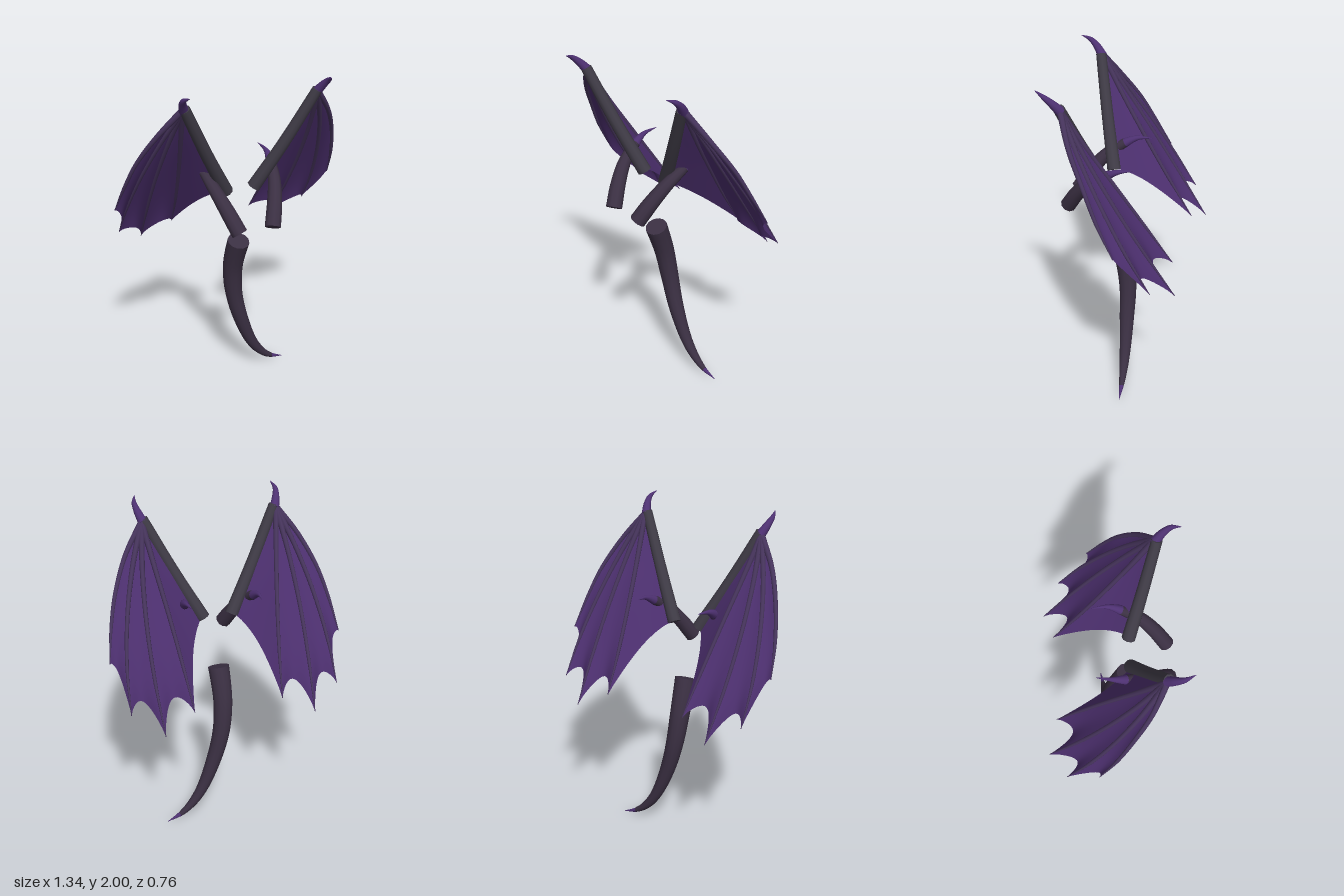
import * as THREE from 'three';

const BONE = new THREE.MeshStandardMaterial({ color: 0x3f3b46 });
const HIDE = new THREE.MeshStandardMaterial({ color: 0x3b3043 });
const FINGER = new THREE.MeshStandardMaterial({ color: 0x46345c });
const PURPLE = new THREE.MeshStandardMaterial({ color: 0x4e3172 });
const SKIN = new THREE.MeshStandardMaterial({ color: 0x4c2f6e, side: THREE.DoubleSide });

const curveOf = (pts, s = 1) =>
  new THREE.CatmullRomCurve3(pts.map(([x, y, z]) => new THREE.Vector3(x * s, y, z)), false, 'centripetal');

// Linear lookup in evenly spaced radii
function radiusAt(radii, t) {
  const f = t * (radii.length - 1), i = Math.min(Math.floor(f), radii.length - 2);
  return THREE.MathUtils.lerp(radii[i], radii[i + 1], f - i);
}

function geometryOf(positions, index) {
  const g = new THREE.BufferGeometry();
  g.setAttribute('position', new THREE.Float32BufferAttribute(positions, 3));
  g.setIndex(index);
  g.computeVertexNormals();
  return g;
}

// Round tapering limb along a curve between t0 and t1, with sharp-edged end caps
function limb(name, curve, radii, material, t0 = 0, t1 = 1, sides = 10, segs = 24) {
  const frames = curve.computeFrenetFrames(segs);
  const rings = [[0, 0], [0, 1]];
  for (let i = 0; i <= segs; i++) rings.push([i, 1]);
  rings.push([segs, 1], [segs, 0]);
  const pos = [], idx = [];
  rings.forEach(([i, scale]) => {
    const t = t0 + (t1 - t0) * i / segs;
    const p = curve.getPointAt(t), r = radiusAt(radii, t) * scale;
    const k = Math.round(t * segs);
    const n = frames.normals[k], b = frames.binormals[k];
    for (let j = 0; j < sides; j++) {
      const a = j / sides * Math.PI * 2;
      const v = p.clone().addScaledVector(n, Math.cos(a) * r).addScaledVector(b, Math.sin(a) * r);
      pos.push(v.x, v.y, v.z);
    }
  });
  for (let i = 0; i < rings.length - 1; i++) {
    if (i === 1 || i === rings.length - 3) continue; // split cap from side
    for (let j = 0; j < sides; j++) {
      const a = i * sides + j, b = i * sides + (j + 1) % sides;
      idx.push(a, b, a + sides, b, b + sides, a + sides);
    }
  }
  const mesh = new THREE.Mesh(geometryOf(pos, idx), material);
  mesh.name = name;
  return mesh;
}

// Skin stretched between two finger curves, with a scalloped, cupped free edge
function skinPanel(a, b, depth, cup) {
  const nu = 16, nt = 24, pos = [], idx = [];
  const front = new THREE.Vector3(0, -0.54, 0.84);
  for (let i = 0; i <= nt; i++) {
    for (let j = 0; j <= nu; j++) {
      const u = j / nu, bow = Math.sin(Math.PI * u);
      const t = i / nt * (1 - depth * Math.pow(bow, 0.75));
      const p = a.getPointAt(t).lerp(b.getPointAt(t), u);
      p.addScaledVector(front, bow * (0.012 * t + cup * Math.pow(i / nt, 8)));
      pos.push(p.x, p.y, p.z);
      if (i < nt && j < nu) {
        const k = i * (nu + 1) + j, m = k + nu + 1;
        idx.push(k, m, k + 1, k + 1, m, m + 1);
      }
    }
  }
  const mesh = new THREE.Mesh(geometryOf(pos, idx), SKIN);
  mesh.name = 'wingSkin';
  return mesh;
}

function makeWing(s) {
  const wing = new THREE.Group();
  wing.name = s > 0 ? 'leftWing' : 'rightWing';

  // Arm from the shoulder up to the wrist
  const arm = curveOf([[0.085, 1.33, 0.105], [0.235, 1.61, 0.185], [0.38, 1.905, 0.26]], s);
  wing.add(limb('wingArm', arm, [0.04, 0.036, 0.033, 0.03], BONE));

  // Thumb claw above the wrist
  const claw = curveOf([[0.38, 1.89, 0.25], [0.4, 1.94, 0.29], [0.408, 1.975, 0.33], [0.395, 2, 0.38]], s);
  wing.add(limb('thumbClaw', claw, [0.028, 0.022, 0.014, 0.001], PURPLE));

  // Fingers fanning out of the wrist, outermost first
  const wrist = [0.388, 1.895, 0.25];
  const fingers = [
    [wrist, [0.5, 1.745, 0.175], [0.587, 1.57, 0.075], [0.637, 1.4, -0.01], [0.67, 1.235, -0.1]],
    [wrist, [0.475, 1.68, 0.13], [0.545, 1.44, -0.01], [0.587, 1.2, -0.155], [0.6, 1, -0.28]],
    [wrist, [0.425, 1.65, 0.105], [0.445, 1.4, -0.05], [0.447, 1.15, -0.21], [0.435, 0.895, -0.38]],
    [wrist, [0.352, 1.67, 0.12], [0.314, 1.44, -0.025], [0.28, 1.2, -0.18], [0.255, 0.985, -0.325]],
  ].map(p => curveOf(p, s));
  fingers.forEach(f =>
    wing.add(limb('wingFinger', f, [0.018, 0.014, 0.012, 0.01, 0.002], FINGER, 0, 1, 8)));

  // Skin from finger to finger and back to the arm
  const armDown = curveOf([wrist, [0.235, 1.61, 0.175], [0.1, 1.325, 0.095]], s);
  const ribs = [...fingers, armDown];
  [[0.09, 0.02], [0.12, 0.03], [0.13, 0.03], [0.085, 0]].forEach(([depth, cup], i) =>
    wing.add(skinPanel(ribs[i], ribs[i + 1], depth, cup)));
  return wing;
}

// Curved horn reaching back through the wing, with a purple point
function makeHorn(s) {
  const horn = new THREE.Group();
  horn.name = s > 0 ? 'leftHorn' : 'rightHorn';
  const path = curveOf([[0.1, 1.17, 0.325], [0.142, 1.28, 0.255], [0.178, 1.375, 0.175],
    [0.2, 1.44, 0.085], [0.21, 1.485, 0], [0.2, 1.5, -0.09]], s);
  const radii = [0.046, 0.045, 0.042, 0.038, 0.033, 0.026, 0.012, 0.001];
  horn.add(limb('hornShaft', path, radii, HIDE, 0, 0.7));
  horn.add(limb('hornTip', path, radii, PURPLE, 0.7, 1));
  return horn;
}

export function createModel() {
  const model = new THREE.Group();
  for (const s of [1, -1]) model.add(makeWing(s), makeHorn(s));

  // Tail sweeping down to the left, with a purple point
  const tail = new THREE.Group();
  tail.name = 'tail';
  const path = curveOf([[-0.003, 0.995, 0.095], [-0.008, 0.89, 0.055], [-0.008, 0.78, 0.022],
    [0.01, 0.6, -0.003], [0.06, 0.4, -0.01], [0.14, 0.2, -0.02], [0.21, 0.1, -0.028],
    [0.28, 0.042, -0.035], [0.37, 0.005, -0.045]]);
  const radii = [0.064, 0.061, 0.058, 0.055, 0.051, 0.047, 0.042, 0.036, 0.029, 0.018, 0.001];
  tail.add(limb('tailBody', path, radii, HIDE, 0, 0.92, 12, 36));
  tail.add(limb('tailTip', path, radii, PURPLE, 0.92, 1, 12, 24));
  model.add(tail);
  return model;
}
